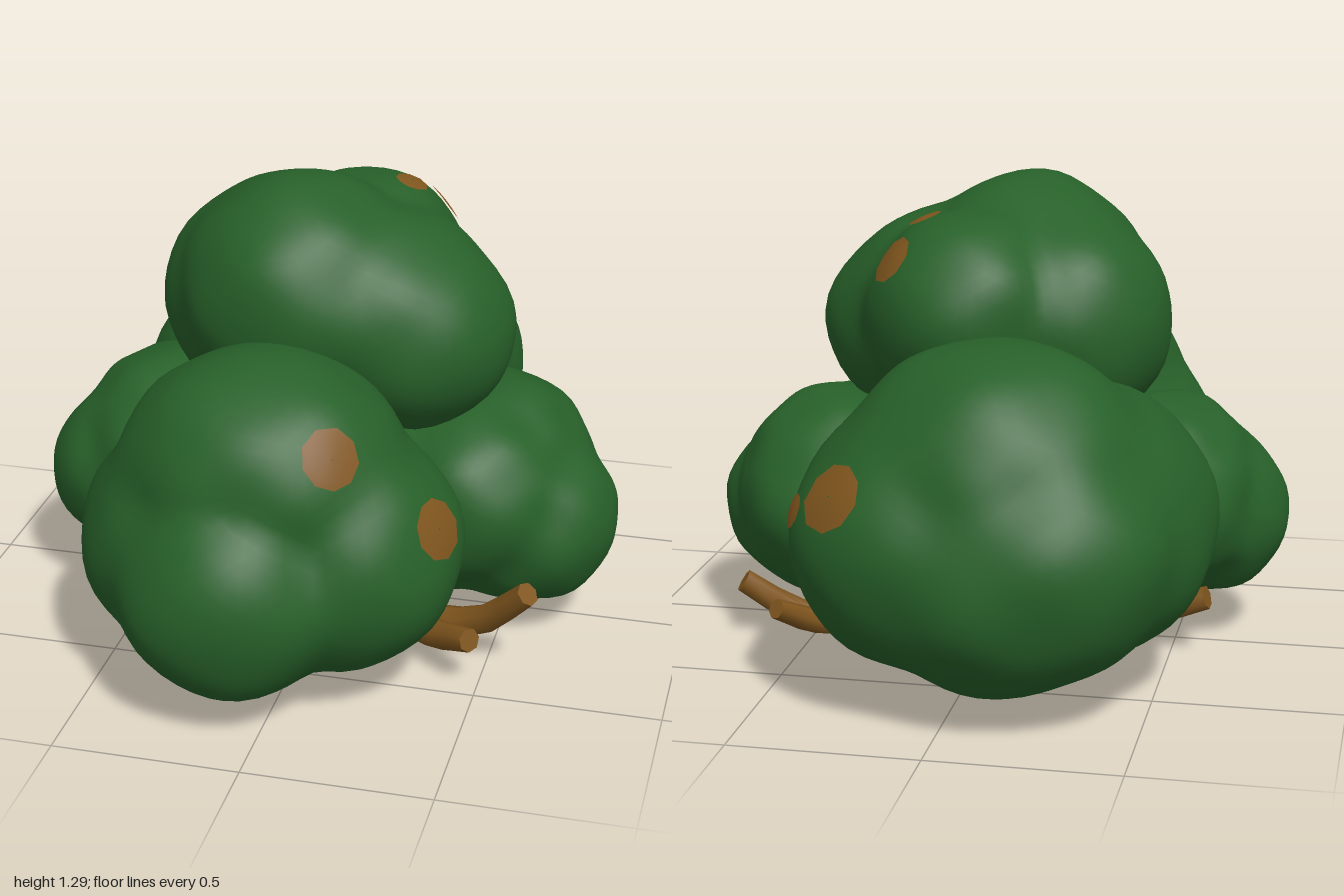
import * as THREE from 'three';
import { mergeVertices, toCreasedNormals } from 'three/addons/utils/BufferGeometryUtils.js';

const leafGreen = new THREE.MeshStandardMaterial({ color: 0x276029 });
leafGreen.name = 'leaf green';
const barkBrown = new THREE.MeshStandardMaterial({ color: 0x80561e });
barkBrown.name = 'bark brown';

// Distance from a clump's centre to the soft union of its lobes along direction d
function surfaceRadius({ centre, lobes }, d) {
  let sum = 0;
  for (const [x, y, z, rx, ry = rx, rz = rx] of lobes) {
    const dir = new THREE.Vector3(d.x / rx, d.y / ry, d.z / rz);
    const off = new THREE.Vector3((x - centre[0]) / rx, (y - centre[1]) / ry, (z - centre[2]) / rz);
    const a = dir.lengthSq(), b = dir.dot(off), c = off.lengthSq() - 1;
    const disc = b * b - a * c;
    if (disc > 0) sum += Math.max(0, (b + Math.sqrt(disc)) / a) ** 26;
  }
  const ripple = Math.sin(7 * d.x + 3 * centre[2]) * Math.sin(8 * d.y + 1) * Math.sin(7 * d.z + 2);
  return sum ** (1 / 26) + 0.008 * ripple;
}

// Push every vertex of a geometry onto the clump surface
function wrapOnto(geometry, clump, lift = 0) {
  geometry.deleteAttribute('uv');
  geometry.deleteAttribute('normal');
  const merged = mergeVertices(geometry, 1e-4);
  const pos = merged.attributes.position;
  const d = new THREE.Vector3();
  for (let i = 0; i < pos.count; i++) {
    d.fromBufferAttribute(pos, i).normalize();
    d.multiplyScalar(surfaceRadius(clump, d) + lift);
    pos.setXYZ(i, d.x, d.y, d.z);
  }
  merged.computeVertexNormals();
  return merged;
}

// Lobes are [x, y, z, rx, ry, rz] (one radius for a ball)
function makeClump(name, centre, lobes) {
  const group = new THREE.Group();
  group.name = name;
  group.position.set(...centre);
  group.userData = { centre, lobes };
  const foliage = new THREE.Mesh(wrapOnto(new THREE.IcosahedronGeometry(1, 12), group.userData), leafGreen);
  foliage.name = 'foliage';
  group.add(foliage);
  return group;
}

// A thin round patch lying on a clump's foliage
function addSpot(group, x, y, z, r) {
  const dir = new THREE.Vector3(x, y, z).sub(group.position).normalize();
  const ring = new THREE.RingGeometry(0.002, r, 9, 4);
  ring.translate(0, 0, surfaceRadius(group.userData, dir));
  ring.applyQuaternion(new THREE.Quaternion().setFromUnitVectors(new THREE.Vector3(0, 0, 1), dir));
  const spot = new THREE.Mesh(wrapOnto(ring, group.userData, 0.008), barkBrown);
  spot.name = 'spot';
  group.add(spot);
}

// A cylinder bent along a curve and tapering to its tip
function makeTwig(points, r0 = 0.055, r1 = 0.033) {
  const curve = new THREE.CatmullRomCurve3(points.map((p) => new THREE.Vector3(...p)));
  const geometry = new THREE.CylinderGeometry(r1, r0, 1, 7, 7);
  const pos = geometry.attributes.position;
  for (let i = 0; i < pos.count; i++) {
    const t = THREE.MathUtils.clamp(pos.getY(i) + 0.5, 0, 1);
    const tangent = curve.getTangentAt(t);
    const v = new THREE.Vector3(0, 1, 0).cross(tangent).normalize();
    const u = new THREE.Vector3().crossVectors(tangent, v);
    const p = curve.getPointAt(t).addScaledVector(u, pos.getX(i)).addScaledVector(v, pos.getZ(i));
    pos.setXYZ(i, p.x, p.y, p.z);
  }
  const twig = new THREE.Mesh(toCreasedNormals(geometry, 1), barkBrown);
  twig.name = 'twig';
  return twig;
}

export function createModel() {
  const model = new THREE.Group();
  model.name = 'bush';

  // Front clump
  const front = makeClump('frontClump', [-0.04, 0.48, 0.5], [
    [-0.06, 0.62, 0.52, 0.38, 0.32, 0.34], [-0.22, 0.41, 0.52, 0.33], [0.14, 0.42, 0.52, 0.325],
    [-0.1, 0.37, 0.69, 0.305], [-0.05, 0.45, 0.34, 0.34],
  ]);
  addSpot(front, 0.18, 0.78, 0.75, 0.078);
  addSpot(front, 0.42, 0.55, 0.62, 0.08);

  // Back clump
  const back = makeClump('backClump', [-0.1, 0.47, -0.55], [
    [-0.1, 0.59, -0.55, 0.41, 0.365, 0.37], [0.08, 0.45, -0.62, 0.34], [-0.3, 0.45, -0.45, 0.345],
    [-0.13, 0.4, -0.67, 0.38, 0.33, 0.325], [-0.26, 0.44, -0.66, 0.31], [-0.1, 0.34, -0.5, 0.33],
    [0.07, 0.46, -0.42, 0.34], [-0.3, 0.48, -0.36, 0.33],
  ]);
  addSpot(back, 0.24, 0.61, -0.85, 0.09);
  addSpot(back, 0.37, 0.55, -0.78, 0.045);

  // Top clump
  const top = makeClump('topClump', [0, 0.9, 0.02], [
    [-0.06, 0.96, 0.12, 0.325], [0.23, 0.86, 0.09, 0.28, 0.26, 0.28], [-0.17, 0.9, 0, 0.305],
    [0.06, 0.94, -0.14, 0.275], [0.15, 0.91, 0.07, 0.3, 0.28, 0.32],
  ]);
  addSpot(top, 0.24, 1.1, -0.27, 0.07);
  addSpot(top, 0.18, 1.2, -0.15, 0.045);

  // Side clumps
  const left = makeClump('leftClump', [0.47, 0.38, 0], [
    [0.46, 0.4, -0.03, 0.27, 0.29, 0.32], [0.57, 0.33, 0.05, 0.235], [0.45, 0.38, -0.15, 0.23],
    [0.5, 0.29, 0.02, 0.22], [0.42, 0.42, 0.12, 0.245], [0.3, 0.38, 0, 0.3, 0.3, 0.34],
  ]);
  const right = makeClump('rightClump', [-0.47, 0.4, 0.02], [
    [-0.46, 0.42, 0.03, 0.27, 0.28, 0.3], [-0.575, 0.36, 0.08, 0.225], [-0.48, 0.42, -0.08, 0.22],
    [-0.42, 0.4, 0.13, 0.24], [-0.3, 0.39, 0, 0.3, 0.28, 0.32],
  ]);

  // Twigs reaching out from underneath, rooted inside the foliage
  const twigs = new THREE.Group();
  twigs.name = 'twigs';
  twigs.add(
    makeTwig([[0.1, 0.2, 0.2], [0.25, 0.08, 0.24], [0.47, 0.12, 0.31], [0.62, 0.27, 0.4]]),
    makeTwig([[0.12, 0.18, 0.24], [0.32, 0.09, 0.33], [0.48, 0.15, 0.47]]),
    makeTwig([[0.12, 0.2, -0.08], [0.32, 0.06, -0.13], [0.53, 0.055, -0.16], [0.69, 0.16, -0.21]]),
    makeTwig([[0.28, 0.08, -0.11], [0.45, 0.06, -0.22], [0.55, 0.14, -0.37]], 0.05, 0.028),
    makeTwig([[-0.08, 0.2, 0.06], [-0.3, 0.11, 0.22], [-0.47, 0.15, 0.29], [-0.62, 0.22, 0.32]]),
    makeTwig([[-0.12, 0.2, -0.03], [-0.4, 0.11, -0.1], [-0.6, 0.17, -0.13]]),
  );

  model.add(front, back, top, left, right, twigs);
  return model;
}
